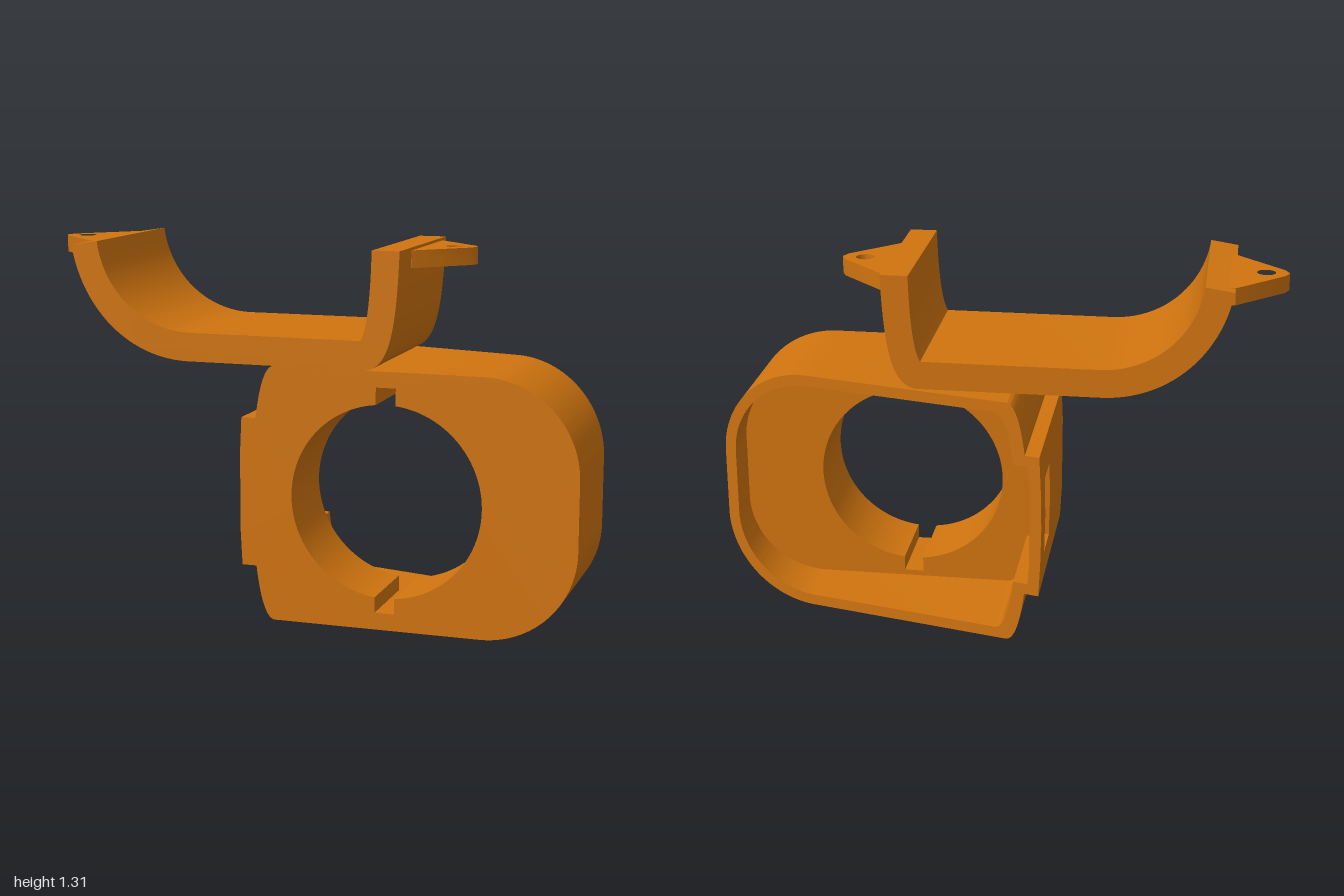
import * as THREE from 'three';
import { toCreasedNormals } from 'three/addons/utils/BufferGeometryUtils.js';

const FRONT = 0.355, FLOOR = 0.06;
const backZ = (x) => -0.311 + 0.232 * x; // slanted rear plane

export function createModel() {
  const group = new THREE.Group();
  const orange = new THREE.MeshStandardMaterial({ color: 0xd0740f });
  orange.name = 'orange';

  const add = (name, geo) => {
    const mesh = new THREE.Mesh(toCreasedNormals(geo, 0.5), orange);
    mesh.name = name;
    group.add(mesh);
    return mesh;
  };

  // Extrude between two z planes; a missing rear plane follows the slant
  const extrude = (shape, zBack, zFront) => {
    const geo = new THREE.ExtrudeGeometry(shape, { depth: 1, bevelEnabled: false, curveSegments: 24 });
    const p = geo.attributes.position;
    for (let i = 0; i < p.count; i++) {
      const rear = zBack === null ? backZ(p.getX(i)) : zBack;
      p.setZ(i, p.getZ(i) < 0.5 ? rear : zFront);
    }
    return geo;
  };

  // Housing outline inset by t, from below the side window round to above it
  const outline = (t) => {
    const p = new THREE.Path();
    const r = 0.33 - t, step = 0.19 + t, top = 0.715 - t;
    p.moveTo(-0.191 + t, 0.31);
    p.lineTo(-0.185 + t, step);
    p.lineTo(-0.133 + t, step);
    p.quadraticCurveTo(-0.11 + t, t, -0.065 + t, t);
    p.lineTo(0.67, t);
    p.absarc(0.67, 0.33, r, -Math.PI / 2, 0, false);
    p.lineTo(1 - t, 0.57);
    p.absarc(0.67, 0.57, r, 0, Math.PI / 2, false);
    p.lineTo(-0.065 + t, 0.9 - t);
    p.quadraticCurveTo(-0.11 + t, 0.9 - t, -0.133 + t, top);
    p.lineTo(-0.185 + t, top);
    p.lineTo(-0.191 + t, 0.59);
    return p.getPoints(24);
  };
  const outer = outline(0), inner = outline(0.04);

  // Thick front wall with the round, notched opening
  const front = new THREE.Shape(outer);
  const cx = 0.335, cy = 0.45, r = 0.337, w = 0.035, a = Math.asin(w / r), q = Math.PI / 2;
  const bore = new THREE.Path();
  bore.absarc(cx, cy, r, -q + a, q - a, false);
  bore.lineTo(cx + w, 0.845);
  bore.lineTo(cx - w, 0.845);
  bore.absarc(cx, cy, r, q + a, 3 * q - a, false);
  bore.lineTo(cx - w, 0.06);
  bore.lineTo(cx + w, 0.06);
  front.holes.push(bore);
  add('frontWall', extrude(front, FLOOR, FRONT));

  // Thin rear shell, open where the side window sits
  const shell = new THREE.Shape([...outer, ...inner.slice().reverse()]);
  add('rearShell', extrude(shell, null, FLOOR));

  // Side wall in front of and behind the window
  const strip = () => new THREE.Shape([
    [-0.191, 0.31], [-0.151, 0.31], [-0.151, 0.59], [-0.191, 0.59], [-0.194, 0.45],
  ].map(([x, y]) => new THREE.Vector2(x, y)));
  add('windowFrontPost', extrude(strip(), -0.09, FLOOR));
  add('windowRearPost', extrude(strip(), null, -0.235));

  // Curved cradle on top of the housing
  const cradle = new THREE.Shape();
  cradle.moveTo(-0.38, 0.9);
  cradle.lineTo(0.26, 0.9);
  cradle.bezierCurveTo(0.35, 0.91, 0.37, 1.05, 0.38, 1.305);
  cradle.lineTo(0.283, 1.305);
  cradle.bezierCurveTo(0.28, 1.14, 0.265, 1.03, 0.245, 1.0);
  cradle.lineTo(-0.37, 1.0);
  cradle.bezierCurveTo(-0.56, 1.0, -0.7, 1.14, -0.72, 1.307);
  cradle.lineTo(-0.818, 1.292);
  cradle.bezierCurveTo(-0.78, 1.06, -0.6, 0.9, -0.38, 0.9);
  add('cradle', extrude(cradle, -0.235, FRONT));

  // Triangular screw tabs at both ends of the cradle
  const tab = (name, base, s, embed) => {
    const pts = [[-embed, -0.19], [0, -0.19], [0.165, -0.025], [0.18, 0.01], [0.165, 0.045], [0, 0.21], [-embed, 0.21]];
    const shape = new THREE.Shape(pts.map(([x, z]) => new THREE.Vector2(base + s * x, z)));
    const hole = new THREE.Path();
    hole.absarc(base + s * 0.1, 0.01, 0.032, 0, Math.PI * 2, true);
    shape.holes.push(hole);
    const geo = new THREE.ExtrudeGeometry(shape, { depth: 0.06, bevelEnabled: false, curveSegments: 16 });
    geo.rotateX(Math.PI / 2);
    geo.translate(0, 1.295, 0);
    add(name, geo);
  };
  tab('rightTab', -0.82, -1, 0.04);
  tab('leftTab', 0.38, 1, 0.03);

  return group;
}
